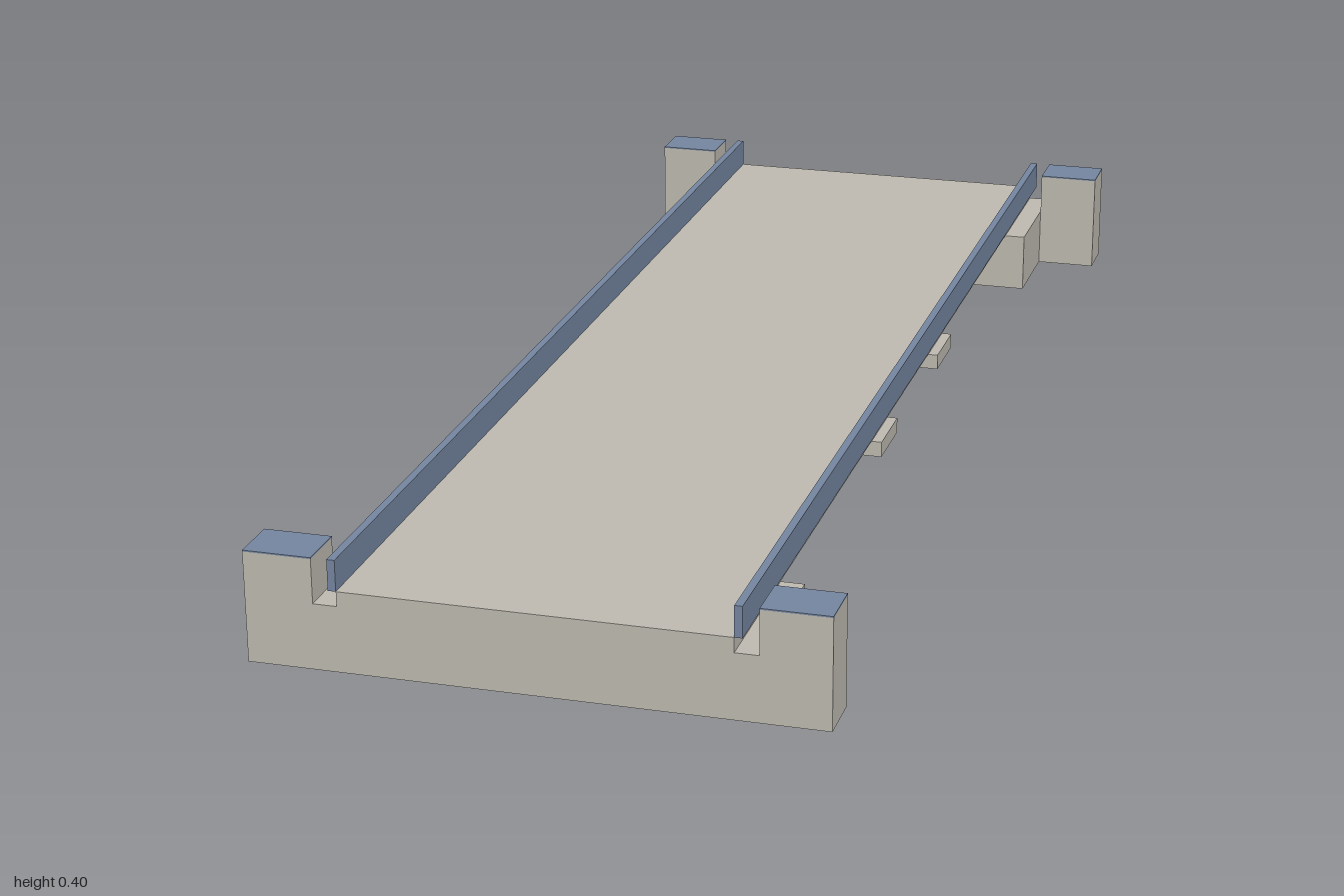
import * as THREE from 'three';

export function createModel() {
  const bridge = new THREE.Group();
  bridge.name = 'bridge';

  const concrete = new THREE.MeshStandardMaterial({ color: 0xbfbbb1 });
  concrete.name = 'concrete';
  const blueSteel = new THREE.MeshStandardMaterial({ color: 0x7586a1 });
  blueSteel.name = 'blue steel';

  // Box given by its limits on each axis
  function block(name, [x0, x1], [y0, y1], [z0, z1], material, parent = bridge) {
    const mesh = new THREE.Mesh(new THREE.BoxGeometry(x1 - x0, y1 - y0, z1 - z0), material);
    mesh.position.set((x0 + x1) / 2, (y0 + y1) / 2, (z0 + z1) / 2);
    mesh.name = name;
    parent.add(mesh);
    return mesh;
  }
  // Same limits, mirrored when the side is -1
  const span = (a, b, side) => (side > 0 ? [a, b] : [-b, -a]);

  // Road deck
  block('deck', [-0.267, 0.267], [0.335, 0.356], [-1, 1], concrete);

  // Side railings along the deck edges
  for (const side of [1, -1]) {
    block(side > 0 ? 'leftRailing' : 'rightRailing',
      span(0.267, 0.278, side), [0.356, 0.4], [-1, 1], blueSteel);
  }

  for (const end of [1, -1]) {
    // Abutment: a bearing block with two corner posts capped in blue
    const abutment = new THREE.Group();
    abutment.name = end > 0 ? 'frontAbutment' : 'backAbutment';
    bridge.add(abutment);
    block('bearingBlock', [-0.3, 0.3], [0.241, 0.335], span(0.77, 1, end), concrete, abutment);
    for (const side of [1, -1]) {
      const x = span(0.3, 0.395, side);
      const z = span(0.926, 1, end);
      block('cornerPost', x, [0.241, 0.398], z, concrete, abutment);
      block('postCap', x, [0.398, 0.4], z, blueSteel, abutment);
    }

    // Pier: a square column under a wide crossbeam
    const pier = new THREE.Group();
    pier.name = end > 0 ? 'frontPier' : 'backPier';
    bridge.add(pier);
    block('column', [-0.046, 0.046], [0, 0.312], span(0.158, 0.229, end), concrete, pier);
    block('crossbeam', [-0.282, 0.282], [0.312, 0.335], span(0.142, 0.245, end), concrete, pier);
  }

  return bridge;
}
